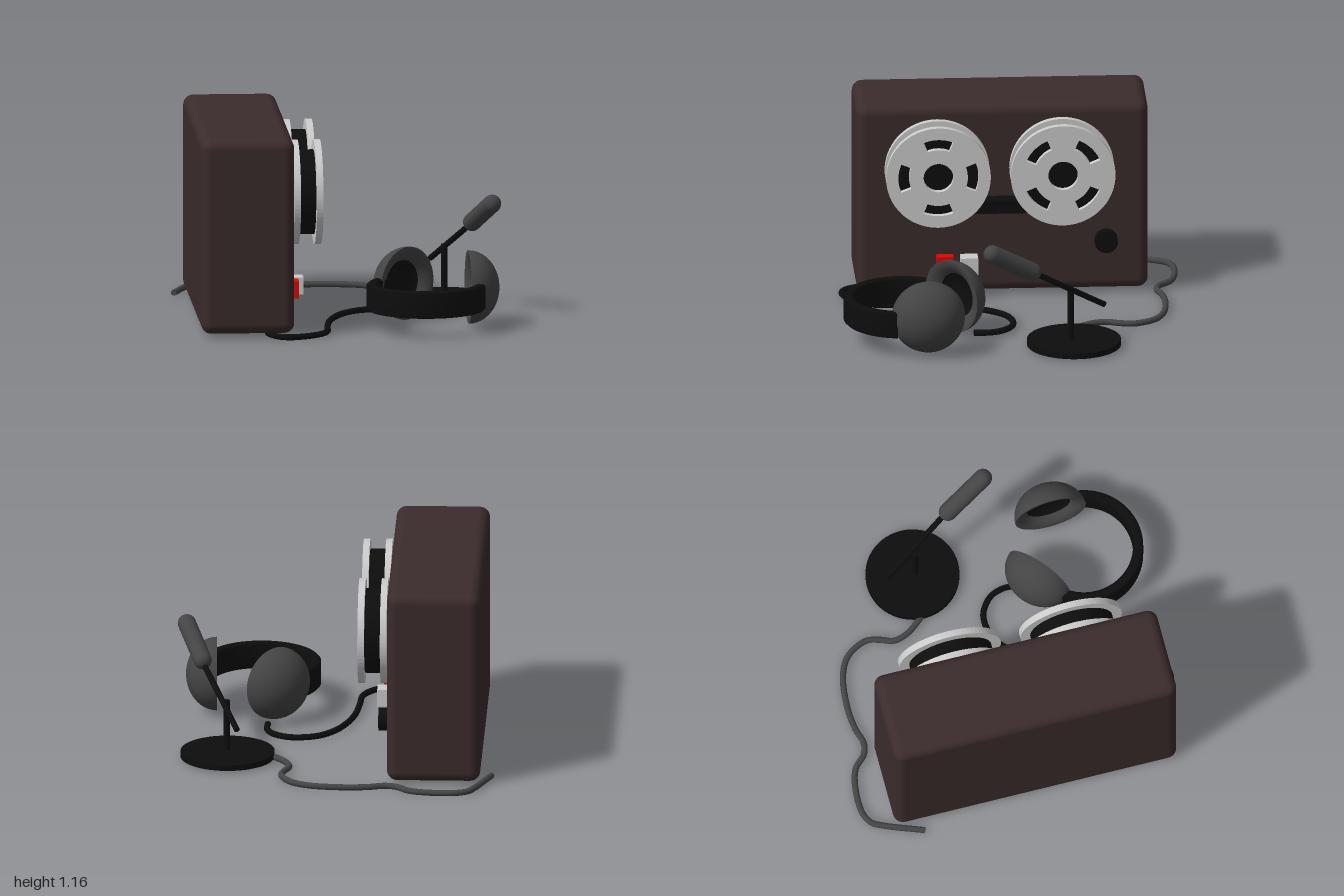
import * as THREE from 'three';
import { RoundedBoxGeometry } from 'three/addons/geometries/RoundedBoxGeometry.js';

const material = (name, color) => {
  const m = new THREE.MeshStandardMaterial({ color });
  m.name = name;
  return m;
};
const V = (x, y, z) => new THREE.Vector3(x, y, z);
const UP = V(0, 1, 0);

export function createModel() {
  const brown = material('dark brown', 0x3b2b2c);
  const black = material('black', 0x0d0d0d);
  const grey = material('dark grey', 0x444444);
  const silver = material('light grey', 0xcbcbcb);
  const red = material('red', 0xdc0505);

  const model = new THREE.Group();
  model.name = 'tapeRecorderSet';

  const add = (name, geometry, mat, x = 0, y = 0, z = 0, parent = model) => {
    const mesh = new THREE.Mesh(geometry, mat);
    mesh.name = name;
    mesh.position.set(x, y, z);
    parent.add(mesh);
    return mesh;
  };
  const group = (name, x = 0, y = 0, z = 0) => {
    const g = new THREE.Group();
    g.name = name;
    g.position.set(x, y, z);
    model.add(g);
    return g;
  };
  // Cylinder or capsule stretched between two points
  const between = (name, a, b, r, mat, round = false) => {
    const len = a.distanceTo(b);
    const geo = round ? new THREE.CapsuleGeometry(r, len, 10, 28) : new THREE.CylinderGeometry(r, r, len, 20);
    const mid = a.clone().lerp(b, 0.5);
    const mesh = add(name, geo, mat, mid.x, mid.y, mid.z);
    mesh.quaternion.setFromUnitVectors(UP, b.clone().sub(a).normalize());
    return mesh;
  };

  // Cabinet
  add('cabinet', new RoundedBoxGeometry(0.54, 1.14, 1.69, 5, 0.06), brown, -0.58, 0.597, 0.025);

  // Reel flange: disc with a centre hole and four curved slots
  const flangeShape = (turn) => {
    const s = new THREE.Shape().absarc(0, 0, 0.303, 0, Math.PI * 2, false);
    s.holes.push(new THREE.Path().absarc(0, 0, 0.086, 0, Math.PI * 2, true));
    for (let i = 0; i < 4; i++) {
      const a = turn + i * Math.PI / 2, h = 0.38;
      const slot = new THREE.Path();
      slot.absarc(0, 0, 0.232, a - h, a + h, false);
      slot.absarc(0, 0, 0.17, a + h, a - h, true);
      slot.closePath();
      s.holes.push(slot);
    }
    return s;
  };
  const reel = (name, z, turn) => {
    const g = group(name, 0, 0.785, z);
    const geo = new THREE.ExtrudeGeometry(flangeShape(turn), { depth: 0.038, bevelEnabled: false, curveSegments: 36 });
    geo.rotateY(Math.PI / 2);
    add('innerFlange', geo, silver, -0.301, 0, 0, g);
    add('outerFlange', geo, silver, -0.171, 0, 0, g);
    const wound = new THREE.CylinderGeometry(0.245, 0.245, 0.092, 48).rotateZ(Math.PI / 2);
    add('woundTape', wound, black, -0.217, 0, 0, g);
    const spindle = new THREE.CylinderGeometry(0.05, 0.05, 0.06, 24).rotateZ(Math.PI / 2);
    add('spindle', spindle, black, -0.29, 0, 0, g);
  };
  reel('frontReel', 0.405, 0);
  reel('backReel', -0.317, Math.PI / 4);
  add('tapeBridge', new THREE.BoxGeometry(0.088, 0.08, 0.5), black, -0.215, 0.588, 0.044);

  // Controls
  add('knob', new THREE.CylinderGeometry(0.067, 0.067, 0.07, 32).rotateZ(Math.PI / 2), black, -0.29, 0.333, -0.575);
  add('redButton', new THREE.BoxGeometry(0.07, 0.1, 0.1), red, -0.29, 0.21, 0.36);
  add('whiteButton', new THREE.BoxGeometry(0.1, 0.1, 0.1), silver, -0.27, 0.21, 0.22);

  // Microphone on its stand
  add('micBase', new THREE.CylinderGeometry(0.272, 0.272, 0.034, 56), black, 0.627, 0.033, -0.336);
  between('micPost', V(0.633, 0.04, -0.317), V(0.633, 0.35, -0.317), 0.019, black);
  between('micArm', V(0.566, 0.235, -0.515), V(0.785, 0.515, -0.085), 0.017, black);
  between('micHead', V(0.78, 0.515, -0.085), V(0.88, 0.66, 0.15), 0.053, grey, true);

  // Cables lying on the ground, given as x, z pairs
  const cable = (name, pairs, mat) => {
    const r = 0.018;
    const pts = pairs.map(([x, z]) => V(x, 0.024, z));
    const curve = new THREE.CatmullRomCurve3(pts);
    add(name, new THREE.TubeGeometry(curve, 110, r, 12), mat);
    [0, 1].forEach((t) => {
      const p = curve.getPoint(t), d = curve.getTangent(t).multiplyScalar(0.002);
      between(name + 'End', p.clone().sub(d), p.clone().add(d), r, mat);
    });
  };
  cable('micCable', [
    [-0.91, -0.66], [-0.82, -0.89], [-0.785, -0.95], [-0.71, -0.985], [-0.53, -0.98], [-0.44, -0.95],
    [-0.37, -0.885], [-0.30, -0.868], [-0.21, -0.893], [-0.07, -0.905], [0.13, -0.88], [0.24, -0.82],
    [0.303, -0.70], [0.29, -0.62], [0.263, -0.54], [0.29, -0.45], [0.38, -0.335],
  ], grey);
  cable('headphoneCable', [
    [-0.46, 0.8], [-0.44, 0.865], [-0.40, 0.93], [-0.34, 0.955], [-0.26, 0.93], [-0.17, 0.865],
    [-0.117, 0.77], [-0.104, 0.61], [-0.083, 0.42], [-0.04, 0.26], [0.03, 0.115], [0.13, 0.02],
    [0.28, -0.003], [0.38, 0.06], [0.415, 0.14], [0.415, 0.23],
  ], black);

  // Headband: a rounded strip swept around part of a circle
  const b = 0.012, r0 = 0.285, r1 = 0.344, h = 0.078;
  const band = [
    [r0 + b, -h], [r1 - b, -h], [r1, -h + b], [r1, h - b], [r1 - b, h], [r0 + b, h], [r0, h - b], [r0, -h + b], [r0 + b, -h],
  ].map(([x, y]) => new THREE.Vector2(x, y));
  add('headband', new THREE.LatheGeometry(band, 64, -2.27, 3.7), black, 0.465, 0.205, 0.645);

  // Ear cups: half-ellipsoid shell, soft hollow cushion and dark lining
  const R = 0.213, D = 0.18;
  const shell = [], cushion = [];
  for (let i = 0; i <= 16; i++) {
    const a = (i / 16) * Math.PI / 2;
    shell.push(new THREE.Vector2(R * Math.sin(a), -D * Math.cos(a)));
  }
  for (let i = 0; i <= 8; i++) {
    const t = i / 8;
    cushion.push(new THREE.Vector2(R - 0.083 * t, -0.045 * t * t));
  }
  const lining = [[0.13, -0.045], [0.11, -0.065], [0.06, -0.075], [0, -0.078]].map(([x, y]) => new THREE.Vector2(x, y));
  const earCup = (name, x, z, nx, nz) => {
    const g = group(name, x, 0.234, z);
    g.quaternion.setFromUnitVectors(UP, V(nx, 0, nz).normalize());
    add('shell', new THREE.LatheGeometry(shell, 48), grey, 0, 0, 0, g);
    add('cushion', new THREE.LatheGeometry(cushion, 48), grey, 0, 0, 0, g);
    add('lining', new THREE.LatheGeometry(lining, 48), black, 0, 0, 0, g);
  };
  earCup('rightEarCup', 0.376, 0.36, 0.66, 0.75);
  earCup('leftEarCup', 0.718, 0.513, -1, 0.035);

  return model;
}
